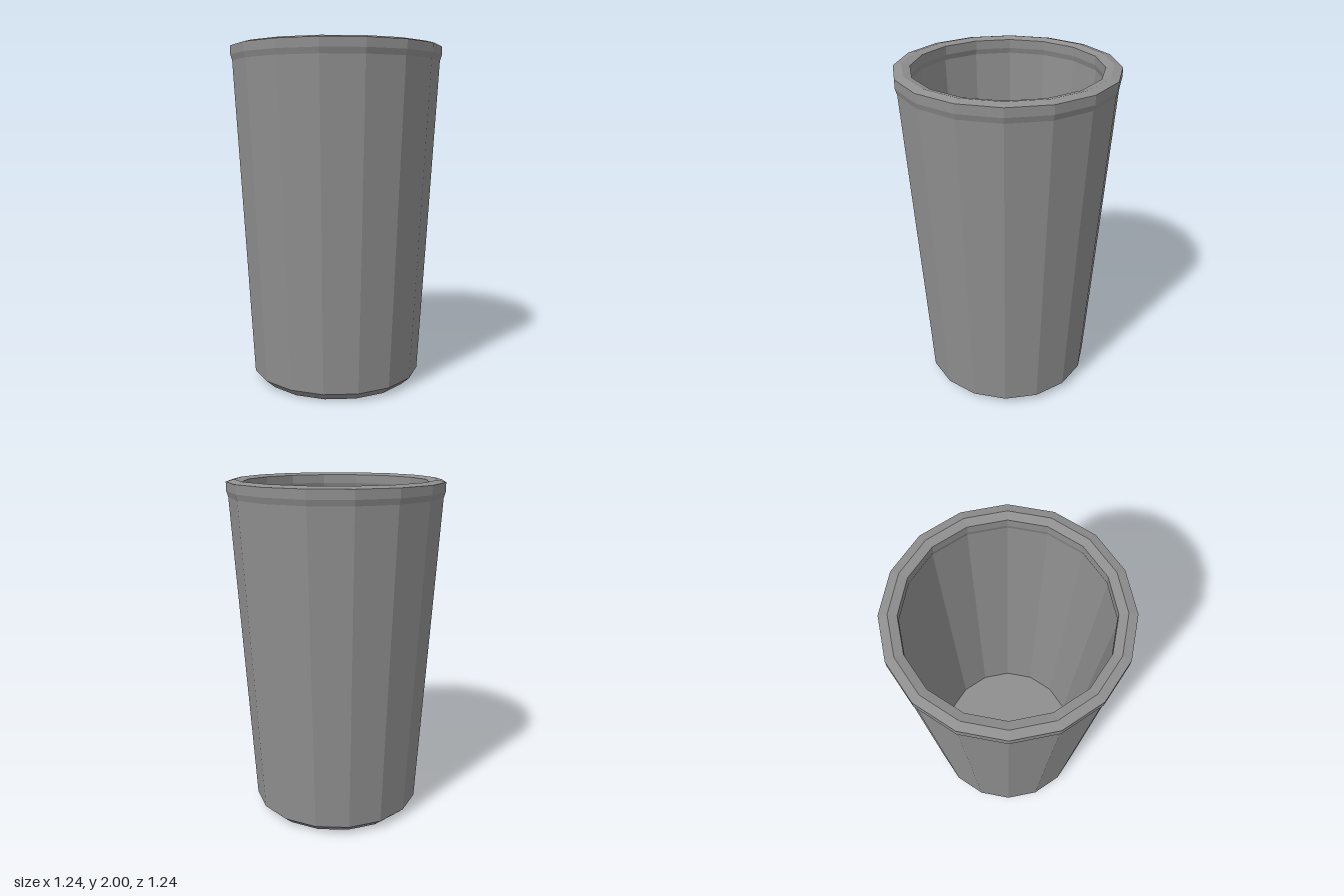
import * as THREE from 'three';

const SIDES = 16;
const material = new THREE.MeshStandardMaterial({ color: 0x8f8f8f, flatShading: true });

// Revolve a profile of [radius, height] points into a faceted part
function turned(name, profile) {
  const points = profile.map(([r, y]) => new THREE.Vector2(r, y));
  const mesh = new THREE.Mesh(new THREE.LatheGeometry(points, SIDES), material);
  mesh.name = name;
  return mesh;
}

export function createModel() {
  const cup = new THREE.Group();
  cup.name = 'cup';

  // Underside, chamfered foot and tapering outer wall
  cup.add(turned('outerWall', [[0, 0], [0.45, 0], [0.505, 0.05], [0.61, 1.905]]));

  // Thickened lip with a shallow bevelled crest, overhanging both walls slightly
  cup.add(turned('rim', [
    [0.61, 1.905], [0.62, 1.937], [0.62, 1.988], [0.573, 2],
    [0.527, 1.988], [0.527, 1.937], [0.537, 1.905],
  ]));

  // Inner wall running down to the flat floor
  cup.add(turned('innerWall', [[0.537, 1.905], [0.447, 0.06], [0, 0.06]]));

  return cup;
}
